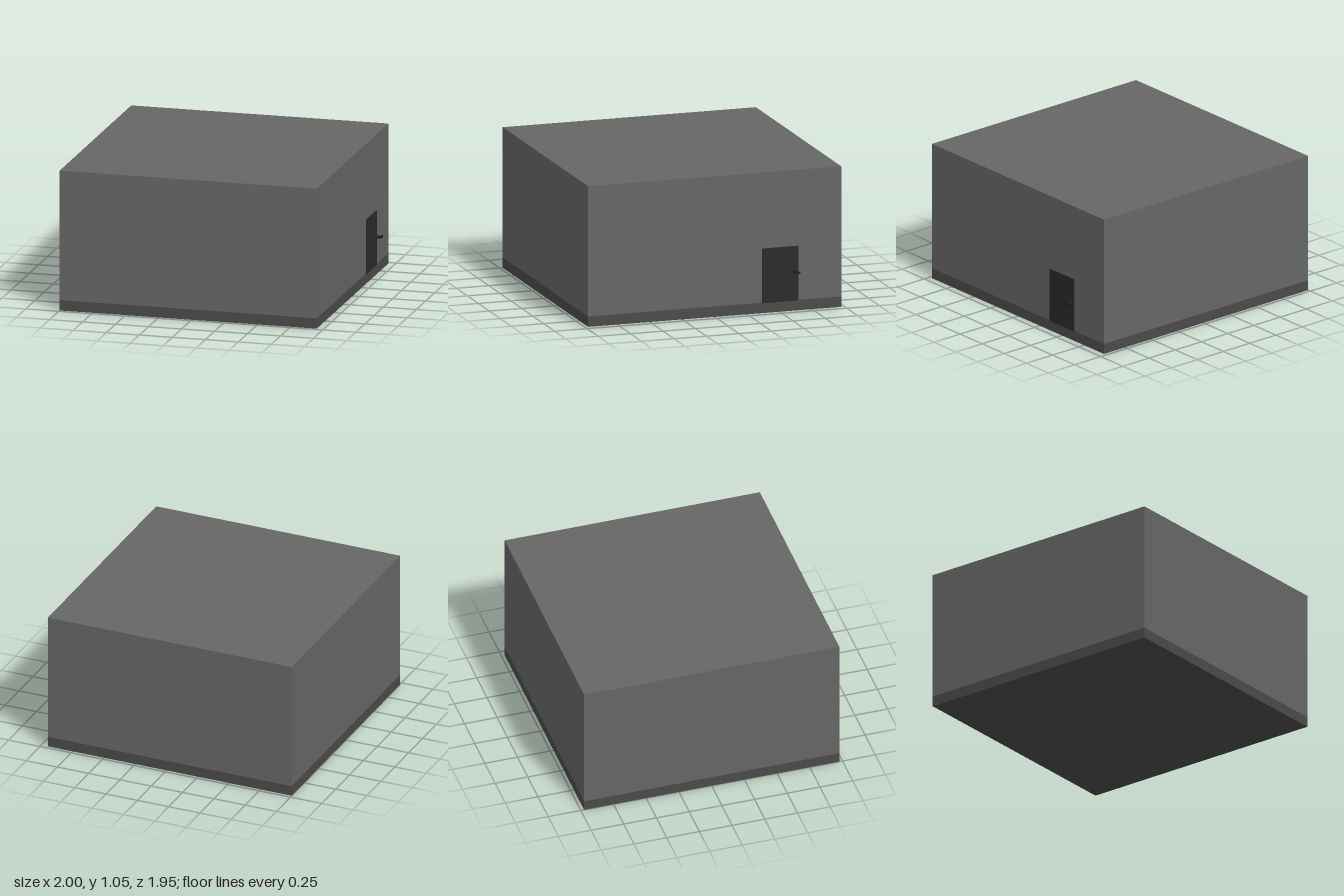
import * as THREE from 'three';

export function createModel() {
  const model = new THREE.Group();
  const paint = (color) => new THREE.MeshStandardMaterial({ color });
  const wallMat = paint(0x666666);
  const baseMat = paint(0x4a4a4a);
  const darkMat = paint(0x2a2a2a);
  const handleMat = paint(0x1c1c1c);

  // Box given by its lower and upper corners
  function box(name, parent, mat, min, max) {
    const size = max.map((v, i) => v - min[i]);
    const mesh = new THREE.Mesh(new THREE.BoxGeometry(...size), mat);
    mesh.position.set(...max.map((v, i) => (v + min[i]) / 2));
    mesh.name = name;
    parent.add(mesh);
    return mesh;
  }

  // Building block on its plinth
  box('plinth', model, baseMat, [-1, 0, -0.975], [0.948, 0.078, 0.975]);
  box('walls', model, wallMat, [-1, 0.078, -0.975], [0.948, 1.055, 0.975]);

  // Door on the left side of the building
  const door = new THREE.Group();
  door.name = 'door';
  model.add(door);
  box('doorPanel', door, darkMat, [0.947, 0.075, -0.642], [0.955, 0.485, -0.365]);

  // Door handle: round rose, neck and a small lever
  const handle = new THREE.Group();
  handle.name = 'doorHandle';
  handle.position.set(0.955, 0.293, -0.61);
  door.add(handle);
  const discs = [
    ['rose', 0.013, 0, 0.02],
    ['neck', 0.007, 0.02, 0.045],
  ];
  for (const [name, radius, x0, x1] of discs) {
    const geometry = new THREE.CylinderGeometry(radius, radius, x1 - x0, 16);
    geometry.rotateZ(-Math.PI / 2);
    const mesh = new THREE.Mesh(geometry, handleMat);
    mesh.position.x = (x0 + x1) / 2;
    mesh.name = name;
    handle.add(mesh);
  }
  box('lever', handle, handleMat, [0.032, -0.007, -0.035], [0.045, 0.007, 0.012]);

  return model;
}
